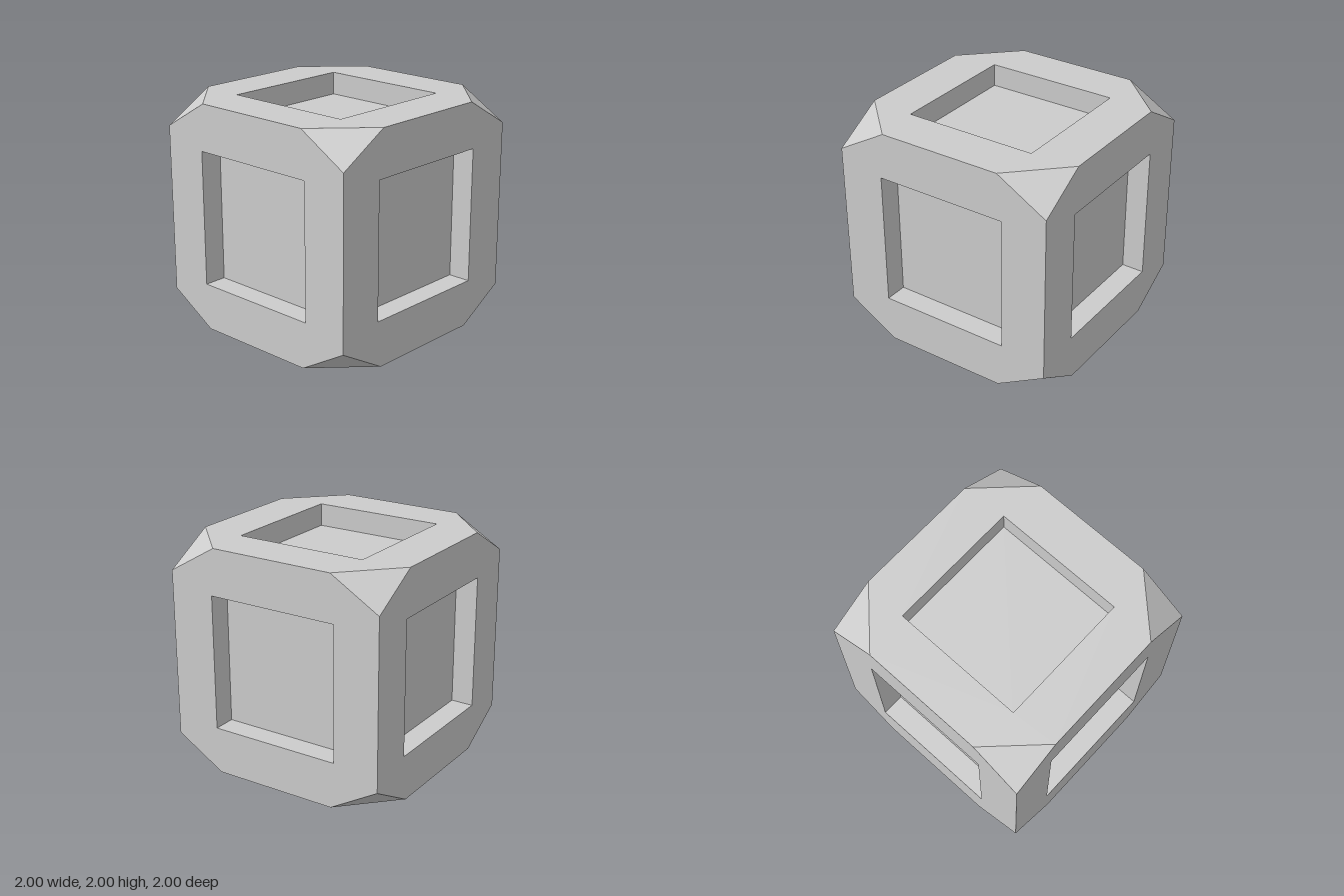
import * as THREE from 'three';
import { mergeGeometries } from 'three/addons/utils/BufferGeometryUtils.js';

const CUT = { x: 0.44, y: 0.26, z: 0.45 }; // corner bevel length along each edge
const HALF = 0.592;  // half width of the square pockets
const DEPTH = 0.2;   // pocket depth

// Flat eight-sided side panel with a square hole, lying at z = 1
function panelGeometry(u, v) {
  const panel = new THREE.Shape([
    [1 - u, -1], [1, v - 1], [1, 1 - v], [1 - u, 1],
    [u - 1, 1], [-1, 1 - v], [-1, v - 1], [u - 1, -1],
  ].map(([x, y]) => new THREE.Vector2(x, y)));
  panel.holes.push(new THREE.Path([[-1, -1], [-1, 1], [1, 1], [1, -1]]
    .map(([x, y]) => new THREE.Vector2(x * HALF, y * HALF))));
  return new THREE.ShapeGeometry(panel).translate(0, 0, 1);
}

// Pocket floor and its four inward-facing walls
function pocketGeometry() {
  const parts = [new THREE.PlaneGeometry(2 * HALF, 2 * HALF).translate(0, 0, 1 - DEPTH)];
  for (let i = 0; i < 4; i++) {
    parts.push(new THREE.PlaneGeometry(2 * HALF, DEPTH)
      .rotateX(-Math.PI / 2)
      .translate(0, -HALF, 1 - DEPTH / 2)
      .rotateZ(i * Math.PI / 2));
  }
  return mergeGeometries(parts);
}

// Triangle that closes one cut corner; signs pick the corner
function cornerGeometry(sx, sy, sz) {
  const a = [sx * (1 - CUT.x), sy, sz];
  const b = [sx, sy * (1 - CUT.y), sz];
  const c = [sx, sy, sz * (1 - CUT.z)];
  const order = sx * sy * sz > 0 ? [a, c, b] : [a, b, c];
  const g = new THREE.BufferGeometry();
  g.setAttribute('position', new THREE.Float32BufferAttribute(order.flat(), 3));
  g.computeVertexNormals();
  // Keep the triangle facing away from the centre
  const n = new THREE.Vector3().fromBufferAttribute(g.attributes.normal, 0);
  if (n.dot(new THREE.Vector3(sx, sy, sz)) < 0) {
    g.setAttribute('position', new THREE.Float32BufferAttribute(order.reverse().flat(), 3));
    g.computeVertexNormals();
  }
  return g;
}

export function createModel() {
  const model = new THREE.Group();
  model.name = 'pocketedCube';
  const material = new THREE.MeshStandardMaterial({ color: 0xcccccc, flatShading: true });
  const add = (parent, name, geometry) => {
    const mesh = new THREE.Mesh(geometry, material);
    mesh.name = name;
    parent.add(mesh);
  };

  // Six sides: name, rotation about x and y, bevel lengths across and up
  const q = Math.PI / 2;
  const sides = [
    ['front', 0, 0, CUT.x, CUT.y], ['back', 0, 2 * q, CUT.x, CUT.y],
    ['left', 0, q, CUT.z, CUT.y], ['right', 0, -q, CUT.z, CUT.y],
    ['top', -q, 0, CUT.x, CUT.z], ['bottom', q, 0, CUT.x, CUT.z],
  ];
  for (const [name, rx, ry, u, v] of sides) {
    const side = new THREE.Group();
    side.name = name + 'Side';
    side.rotation.set(rx, ry, 0);
    side.position.y = 1;
    add(side, name + 'Panel', panelGeometry(u, v));
    add(side, name + 'Pocket', pocketGeometry());
    model.add(side);
  }

  // Eight cut corners
  const corners = new THREE.Group();
  corners.name = 'cutCorners';
  corners.position.y = 1;
  for (const sx of [-1, 1]) for (const sy of [-1, 1]) for (const sz of [-1, 1]) {
    const name = (sy > 0 ? 'top' : 'bottom') + (sz > 0 ? 'Front' : 'Back') + (sx > 0 ? 'Left' : 'Right') + 'Corner';
    add(corners, name, cornerGeometry(sx, sy, sz));
  }
  model.add(corners);
  return model;
}
